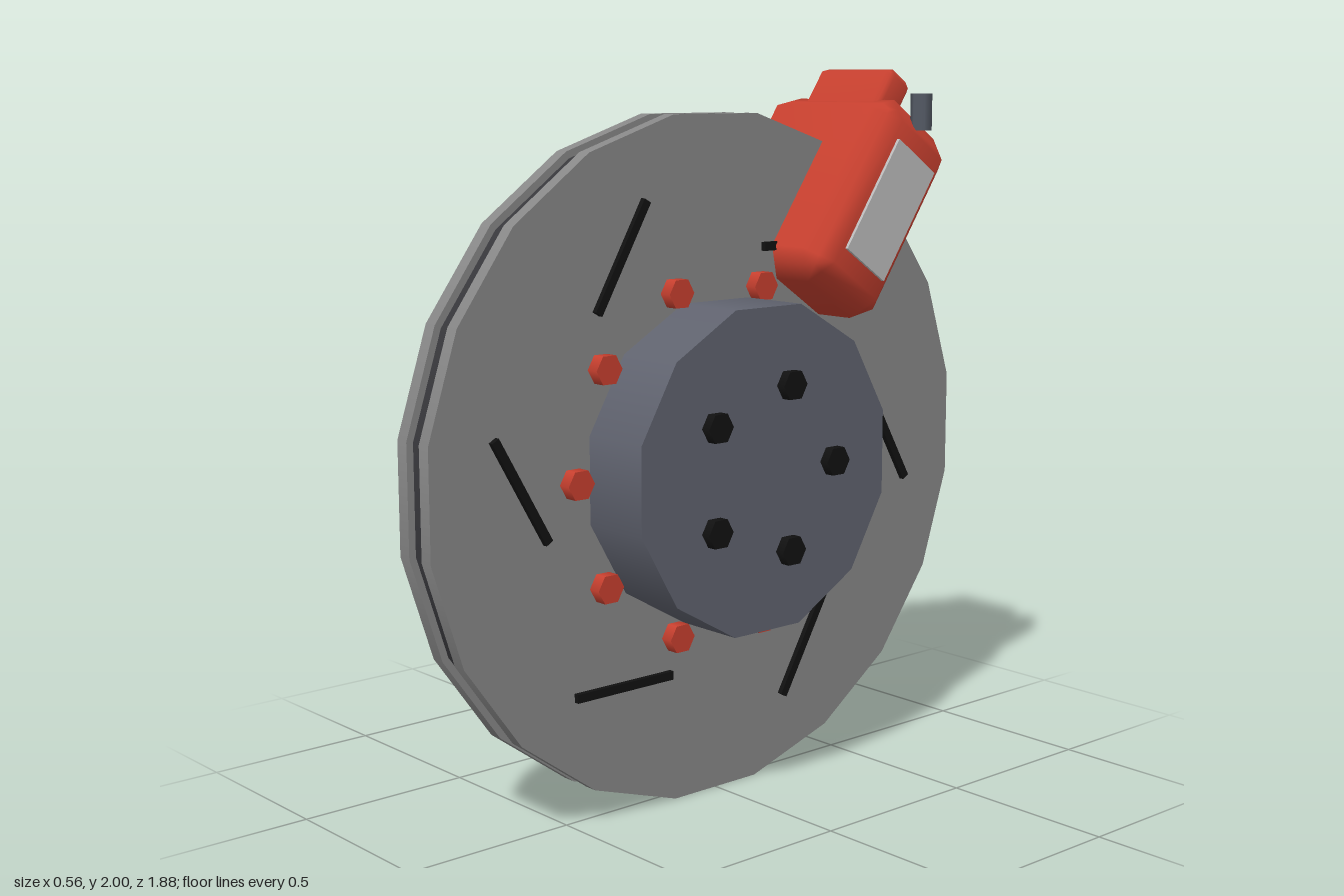
import * as THREE from 'three';
import { mergeVertices } from 'three/addons/utils/BufferGeometryUtils.js';

const paint = (name, color) => {
  const m = new THREE.MeshStandardMaterial({ color });
  m.name = name;
  return m;
};

// Box with a single smooth-shaded chamfer of size b on every edge
function chamferBox(w, h, d, b) {
  const g = new THREE.BoxGeometry(1, 1, 1, 3, 3, 3);
  g.deleteAttribute('uv');
  g.deleteAttribute('normal');
  const half = [w / 2, h / 2, d / 2];
  const p = g.attributes.position;
  for (let i = 0; i < p.count; i++) {
    const v = [p.getX(i), p.getY(i), p.getZ(i)];
    const outer = v.filter((c) => Math.abs(c) > 0.4).length;
    const q = v.map((c, k) => Math.sign(c) * (half[k] - b + (Math.abs(c) > 0.4 ? b / outer : 0)));
    p.setXYZ(i, ...q);
  }
  const merged = mergeVertices(g, 1e-4);
  merged.computeVertexNormals();
  return merged;
}

// Cylinder lying along x from x0 to x1
function axle(radius, x0, x1, sides, start = 0) {
  const g = new THREE.CylinderGeometry(radius, radius, x1 - x0, sides, 1, false, start);
  return g.rotateZ(-Math.PI / 2).translate((x0 + x1) / 2, 0, 0);
}

export function createModel() {
  const steel = paint('disc steel', 0x888888);
  const dark = paint('vent dark grey', 0x38383c);
  const hubGrey = paint('hub blue grey', 0x60636f);
  const black = paint('black', 0x111111);
  const red = paint('caliper red', 0xc8402f);
  const silver = paint('plate silver', 0xbdbdbd);
  const valveGrey = paint('valve grey', 0x555b66);

  const model = new THREE.Group();
  model.name = 'brakeDisc';
  const add = (parent, name, geometry, material, x = 0, y = 0, z = 0) => {
    const mesh = new THREE.Mesh(geometry, material);
    mesh.name = name;
    mesh.position.set(x, y, z);
    parent.add(mesh);
    return mesh;
  };

  // Rotor: two plates around a recessed core, plus the hub
  const rotor = new THREE.Group();
  rotor.name = 'rotor';
  rotor.position.y = 0.94;
  model.add(rotor);
  const turn = Math.PI / 20;
  add(rotor, 'innerPlate', axle(0.951, -0.095, -0.055, 20, turn), steel);
  add(rotor, 'outerPlate', axle(0.951, 0, 0.04, 20, turn), steel);
  add(rotor, 'ventCore', axle(0.931, -0.055, 0, 20, turn), dark);
  add(rotor, 'hub', axle(0.455, 0.03, 0.25, 12, Math.PI / 12), hubGrey);

  // Places count copies evenly on a circle around the axle
  const ring = (count, radius, start, make) => {
    for (let i = 0; i < count; i++) {
      const a = start + (i / count) * Math.PI * 2;
      make(a, radius * Math.sin(a), radius * Math.cos(a));
    }
  };
  const bolt = axle(0.043, 0.035, 0.077, 6);
  ring(10, 0.495, 0, (a, y, z) => add(rotor, 'rotorBolt', bolt, red, 0, y, z));
  const lug = axle(0.043, 0.245, 0.278, 6);
  ring(5, 0.238, Math.PI, (a, y, z) => add(rotor, 'lugHole', lug, black, 0, y, z));
  const slot = new THREE.BoxGeometry(0.02, 0.024, 0.33);
  ring(6, 0.666, 0, (a, y, z) => {
    add(rotor, 'slot', slot, black, 0.045, y, z).rotation.x = -(a + Math.PI / 3);
  });

  // Caliper, tilted to straddle the rim
  const caliper = new THREE.Group();
  caliper.name = 'caliper';
  caliper.position.set(-0.025, 1.612, -0.4745);
  caliper.rotation.x = -0.6;
  model.add(caliper);
  add(caliper, 'caliperBody', chamferBox(0.51, 0.59, 0.334, 0.067), red);
  add(caliper, 'caliperCap', chamferBox(0.295, 0.2, 0.104, 0.02), red, 0, 0.296, 0.069);
  add(caliper, 'caliperPlate', new THREE.BoxGeometry(0.009, 0.353, 0.175), silver, 0.2595);

  // Upright bleed valve
  add(model, 'bleedValve', new THREE.CylinderGeometry(0.031, 0.031, 0.102, 6), valveGrey, 0.204, 1.878, -0.625);

  return model;
}
